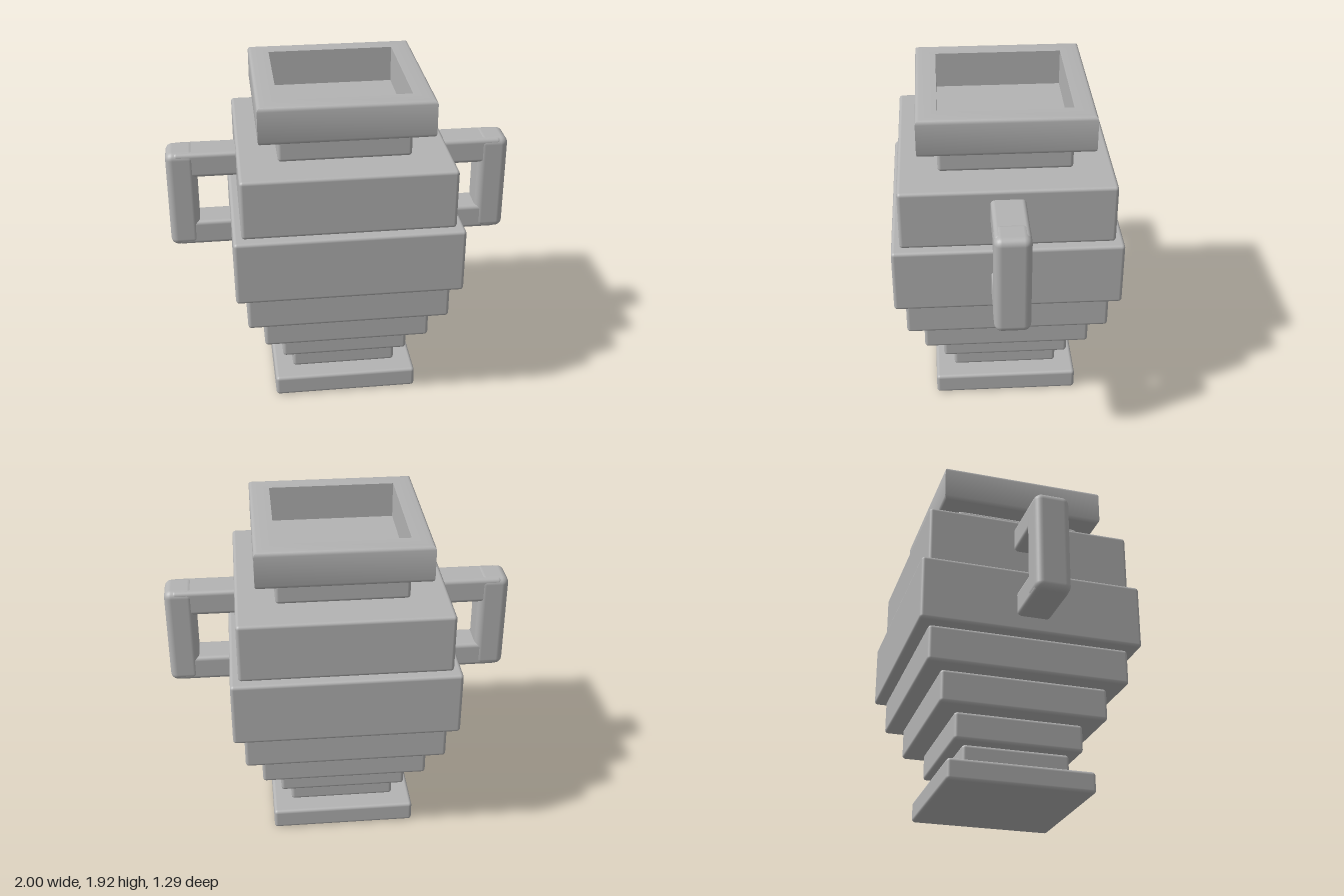
import * as THREE from 'three';
import { toCreasedNormals } from 'three/addons/utils/BufferGeometryUtils.js';
import { RoundedBoxGeometry } from 'three/addons/geometries/RoundedBoxGeometry.js';

const clay = new THREE.MeshStandardMaterial({ color: 0xb3b3b3 });
clay.name = 'grey clay';

// Softened box given by its centre range in x and y, and half depth in z
function block(name, x0, x1, y0, y1, halfZ, radius) {
  const geometry = new RoundedBoxGeometry(x1 - x0, y1 - y0, halfZ * 2, 3, radius);
  const mesh = new THREE.Mesh(geometry, clay);
  mesh.position.set((x0 + x1) / 2, (y0 + y1) / 2, 0);
  mesh.name = name;
  return mesh;
}

// Hollow square rim: a four-sided lathe with rounded outer edges and a floor
function makeRim() {
  const half = 0.485, inner = 0.367, bottom = 1.705, top = 1.92, r = 0.022;
  const profile = [[0.3, bottom]];
  for (const [y, start] of [[bottom + r, -Math.PI / 2], [top - r, 0]]) {
    for (let i = 0; i <= 3; i++) {
      const a = start + (i / 3) * Math.PI / 2;
      profile.push([half - r + Math.cos(a) * r, y + Math.sin(a) * r]);
    }
  }
  profile.push([inner, top], [inner, bottom + 0.004], [0, bottom + 0.004]);
  const points = profile.map(([w, y]) => new THREE.Vector2(w * Math.SQRT2, y));
  const geometry = new THREE.LatheGeometry(points, 4).rotateY(Math.PI / 4);
  const mesh = new THREE.Mesh(toCreasedNormals(geometry, 0.7), clay);
  mesh.name = 'rim';
  return mesh;
}

export function createModel() {
  const vase = new THREE.Group();
  vase.name = 'vase';

  // Square tiers: name, half width, bottom, top
  const tiers = [
    ['foot', 0.425, 0, 0.125],
    ['stem', 0.312, 0.125, 0.25],
    ['lowerTier', 0.375, 0.25, 0.413],
    ['middleTier', 0.485, 0.413, 0.605],
    ['upperTier', 0.582, 0.605, 0.817],
    ['belly', 0.645, 0.817, 1.2],
    ['shoulder', 0.598, 1.2, 1.55],
    ['neck', 0.375, 1.55, 1.706],
  ];
  for (const [name, half, y0, y1] of tiers) {
    vase.add(block(name, -half, half, y0, y1, half, 0.02));
  }
  vase.add(makeRim());

  // Bracket handles on both sides
  for (const [side, s] of [['left', 1], ['right', -1]]) {
    const handle = new THREE.Group();
    handle.name = side + 'Handle';
    const bar = (name, x0, x1, y0, y1, halfZ, r) =>
      handle.add(block(name, Math.min(s * x0, s * x1), Math.max(s * x0, s * x1), y0, y1, halfZ, r));
    bar('grip', 0.825, 1, 0.905, 1.5, 0.1, 0.042);
    bar('upperArm', 0.5, 0.96, 1.345, 1.497, 0.097, 0.025);
    bar('lowerArm', 0.5, 0.96, 0.908, 1.06, 0.097, 0.025);
    vase.add(handle);
  }
  return vase;
}
